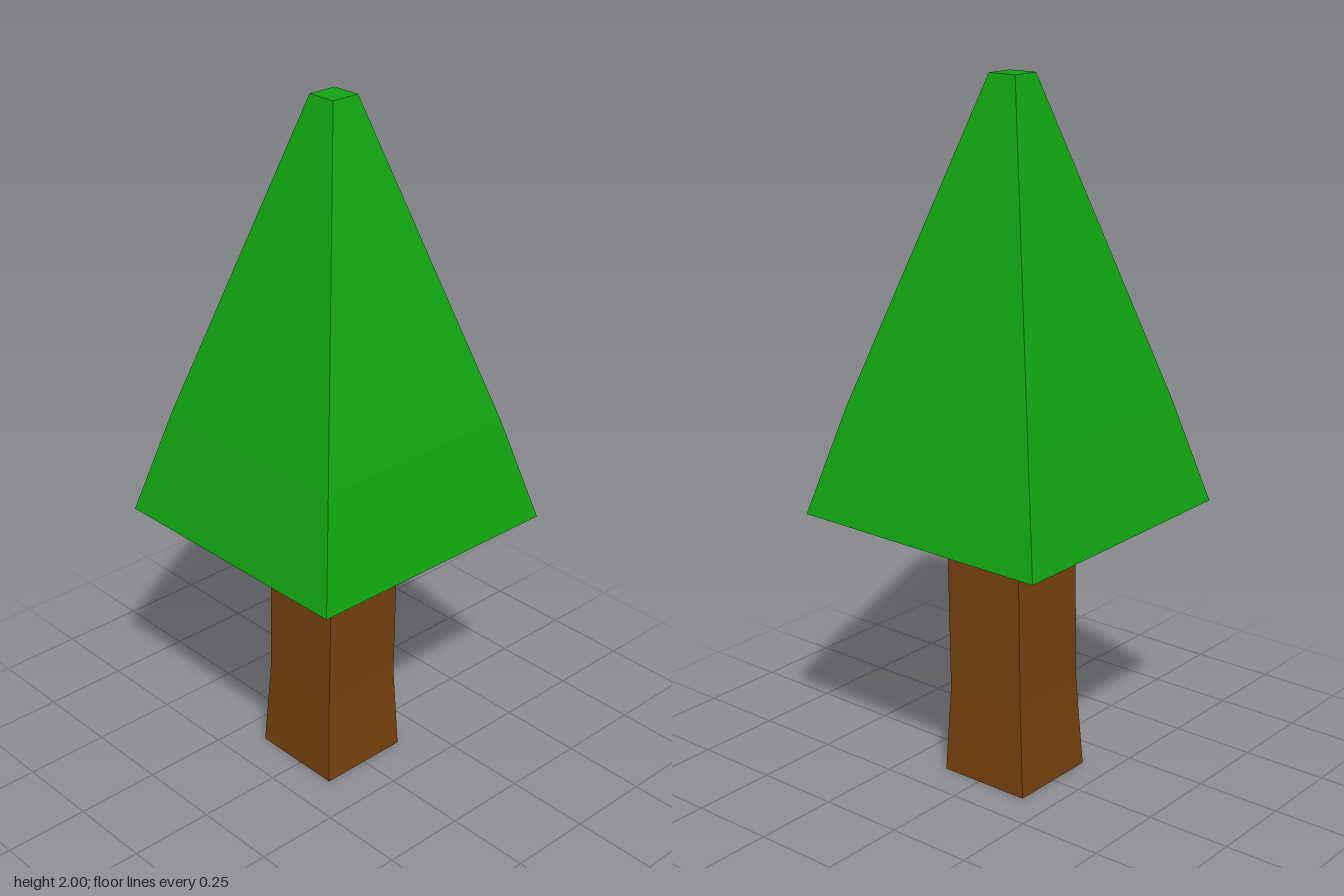
import * as THREE from 'three';

// Four-cornered ring, counter-clockwise from the front-left corner
const ring = (y, x0, x1, z0, z1) => [[x0, y, z1], [x1, y, z1], [x1, y, z0], [x0, y, z0]];

// Walls between stacked rings, each wall split into a lower and an upper triangle
function walls(rings, lower = true, upper = true) {
  const tris = [];
  for (let r = 0; r < rings.length - 1; r++) {
    const lo = rings[r], up = rings[r + 1];
    for (let i = 0; i < 4; i++) {
      const j = (i + 1) % 4;
      if (lower) tris.push(lo[i], lo[j], up[j]);
      if (upper) tris.push(lo[i], up[j], up[i]);
    }
  }
  return tris;
}

const topCap = ([a, b, c, d]) => [a, b, c, a, c, d];
const bottomCap = ([a, b, c, d]) => [a, c, b, a, d, c];

function addPart(group, name, tris, material) {
  const geometry = new THREE.BufferGeometry();
  geometry.setAttribute('position', new THREE.Float32BufferAttribute(tris.flat(), 3));
  geometry.computeVertexNormals();
  const mesh = new THREE.Mesh(geometry, material);
  mesh.name = name;
  group.add(mesh);
}

export function createModel() {
  const tree = new THREE.Group();
  tree.name = 'tree';
  const bark = new THREE.MeshStandardMaterial({ color: 0x78420e });
  bark.name = 'bark brown';
  const leaf = new THREE.MeshStandardMaterial({ color: 0x10a510 });
  leaf.name = 'leaf green';

  const neck = ring(0.7, -0.135, 0.12, -0.13, 0.125);
  const trunkRings = [
    ring(0, -0.16, 0.125, -0.14, 0.14),
    ring(0.26, -0.143, 0.112, -0.13, 0.127),
    neck,
  ];
  const rim = ring(0.797, -0.4, 0.4, -0.4, 0.4);
  rim[1][1] = 0.803;
  rim[3][1] = 0.79;
  const crownRings = [
    rim,
    ring(1.1, -0.32, 0.317, -0.32, 0.317),
    ring(2, -0.06, 0.028, -0.053, 0.033),
  ];

  // Tapered square trunk
  addPart(tree, 'trunk', [...walls(trunkRings), ...bottomCap(trunkRings[0])], bark);
  // Underside of the crown: bark spikes reach out to the corners, leaves fill the rest
  addPart(tree, 'underside bark', walls([neck, rim], true, false), bark);
  addPart(tree, 'underside leaves', walls([neck, rim], false, true), leaf);
  // Slightly bulging pyramid with a blunt tip
  addPart(tree, 'crown', [...walls(crownRings), ...topCap(crownRings[2])], leaf);
  return tree;
}
